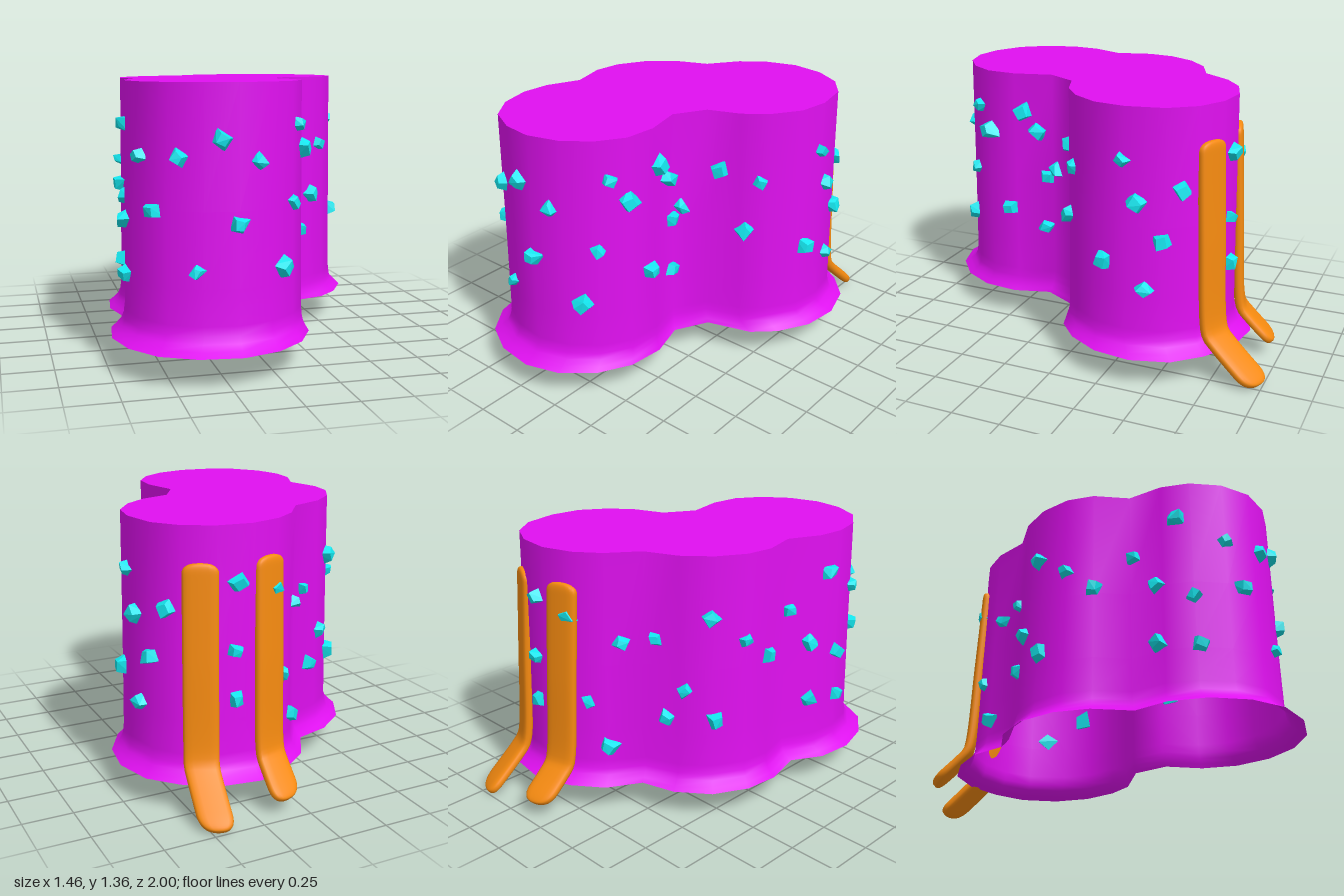
import * as THREE from 'three';
import { ConvexGeometry } from 'three/addons/geometries/ConvexGeometry.js';

const purple = new THREE.MeshStandardMaterial({ color: 0xe010f0, side: THREE.DoubleSide });
const orange = new THREE.MeshStandardMaterial({ color: 0xf58a10, side: THREE.DoubleSide });
const cyan = new THREE.MeshStandardMaterial({ color: 0x14e6ee, flatShading: true });

// lobed outline at the top of the wall, as x, z pairs
const TOP = [
  [.19, -.75], [.36, -.73], [.5, -.655], [.595, -.53], [.63, -.345], [.605, -.185], [.515, -.05],
  [.4, .04], [.24, .1], [.15, .255], [.195, .45], [.18, .61], [.095, .74], [-.035, .835],
  [-.195, .88], [-.35, .86], [-.5, .785], [-.6, .65], [-.64, .49], [-.625, .345], [-.55, .18],
  [-.595, 0], [-.575, -.14], [-.495, -.28], [-.37, -.39], [-.2, -.46], [-.09, -.61], [.03, -.7],
];
// matching outline of the flared rim
const RIM = [
  [.19, -.86], [.39, -.83], [.55, -.73], [.67, -.6], [.725, -.41], [.7, -.22], [.61, -.06],
  [.5, .04], [.27, .11], [.18, .28], [.235, .47], [.215, .655], [.125, .82], [-.02, .94],
  [-.2, .995], [-.4, .97], [-.57, .88], [-.68, .73], [-.73, .545], [-.71, .355], [-.62, .2],
  [-.67, 0], [-.65, -.175], [-.56, -.345], [-.405, -.465], [-.23, -.515], [-.135, -.68], [.01, -.79],
];
// height and amount of flare, from the rim upward
const PROFILE = [[.16, 1], [.18, .7], [.205, .4], [.235, .24], [.28, .17], [.45, .13], [.8, .07], [1.37, 0]];

// joins rings of n points into a closed loop surface
function loft(rings) {
  const n = rings[0].length, index = [];
  for (let r = 0; r < rings.length - 1; r++) {
    for (let i = 0; i < n; i++) {
      const a = r * n + i, b = r * n + (i + 1) % n;
      index.push(a, a + n, b, b, a + n, b + n);
    }
  }
  const geo = new THREE.BufferGeometry();
  geo.setAttribute('position', new THREE.Float32BufferAttribute(rings.flat(2), 3));
  geo.setIndex(index);
  geo.computeVertexNormals();
  return geo;
}

function addMesh(parent, name, geo, mat) {
  const mesh = new THREE.Mesh(geo, mat);
  mesh.name = name;
  parent.add(mesh);
  return mesh;
}

// strap hugging the wall and kicking out at the foot; points are x, y, z
function strapGeometry(points, across) {
  const path = new THREE.CatmullRomCurve3(points.map(p => new THREE.Vector3(...p)), false, 'centripetal');
  const wide = new THREE.Vector3(...across).normalize();
  const steps = 56, sides = 20, rings = [];
  for (let k = 0; k <= steps; k++) {
    // steps crowd toward both ends so the tips are round
    const t = (1 - Math.cos(Math.PI * k / steps)) / 2;
    const c = path.getPointAt(t);
    const thick = new THREE.Vector3().crossVectors(path.getTangentAt(t), wide).normalize();
    const round = (d, size) => Math.pow(Math.max(0, 1 - Math.pow(Math.max(0, 1 - d / size), 2.5)), 1 / 2.5);
    const len = path.getLength();
    const end = Math.min(round(t * len, .05), round((1 - t) * len, .09));
    const w = .084 * end, h = .027 * Math.sqrt(end);
    const ring = [];
    for (let i = 0; i < sides; i++) {
      const a = -i / sides * Math.PI * 2;
      const sq = v => Math.sign(v) * Math.pow(Math.abs(v), .65);
      ring.push(c.clone().addScaledVector(wide, w * sq(Math.cos(a)))
        .addScaledVector(thick, h * sq(Math.sin(a))).toArray());
    }
    rings.push(ring);
  }
  return loft(rings);
}

// small seeded generator
let seed = 7;
const rand = () => (seed = (seed * 16807) % 2147483647) / 2147483647;

// irregular chipped stone: a tapered, jittered block
function stoneGeometry(size) {
  const points = [];
  for (const x of [-1, 1]) for (const y of [-1, 1]) for (const z of [-1, 1]) {
    const taper = z > 0 ? .6 : 1;
    points.push(new THREE.Vector3(
      x * size * taper * (.55 + .45 * rand()),
      y * size * taper * (.65 + .5 * rand()),
      z * size * (.45 + .4 * rand())));
  }
  return new ConvexGeometry(points);
}

// stones: place along the outline (point index), height
const STONES = [
  // front lobe
  [17, 1.04], [15.7, 1.04], [14.5, 1.12], [13.4, 1.02], [12, .81], [11.6, 1.17], [11, 1.05], [16.5, .79],
  [14, .74], [15.2, .53], [12.5, .52], [9.8, 1.17], [10.2, .63], [9.15, .82], [9.4, 1.07], [9.2, .54],
  // side of the rear lobe
  [8.75, .87], [7.6, 1.06], [6.8, .74], [6.3, 1.01], [4.1, 1.12], [4.7, .61], [3.7, .92], [3.5, .49],
  [3.05, .74], [2.5, .98],
  // back
  [.4, 1.1], [.5, .78], [.45, .55], [27.2, 1.05], [26.6, .6], [26, .36],
  // far side
  [25.6, .92], [24.65, .94], [23.1, 1.07], [22, .94], [23.85, .69], [24.35, .53], [22.9, .53],
  [21, .83], [19.9, 1], [19.2, .81], [18.5, 1.17], [19.2, .49], [17.9, .46], [18, .72],
];

// flare amount at a height
function flareAt(y) {
  const i = Math.max(1, PROFILE.findIndex(p => p[0] >= y));
  const [y0, f0] = PROFILE[i - 1], [y1, f1] = PROFILE[i];
  return f0 + (f1 - f0) * (y - y0) / (y1 - y0);
}

export function createModel() {
  const model = new THREE.Group();
  model.name = 'studdedLobedShell';
  seed = 7;

  // open-bottomed wall with flared rim
  const ringAt = (y, f) => TOP.map(([x, z], i) => [x + (RIM[i][0] - x) * f, y, z + (RIM[i][1] - z) * f]);
  addMesh(model, 'wall', loft(PROFILE.map(([y, f]) => ringAt(y, f))), purple);

  // flat lid
  const lid = new THREE.ShapeGeometry(new THREE.Shape(TOP.map(([x, z]) => new THREE.Vector2(x, -z))));
  lid.rotateX(-Math.PI / 2).translate(0, 1.37, 0);
  addMesh(model, 'lid', lid, purple);

  // two straps on the back
  addMesh(model, 'innerStrap', strapGeometry(
    [[.09, 1.21, -.72], [.095, .75, -.745], [.1, .31, -.77], [.1, .25, -.785], [.1, .2, -.83], [.1, .085, -.955]],
    [.96, 0, -.26]), orange);
  addMesh(model, 'outerStrap', strapGeometry(
    [[.425, 1.2, -.695], [.435, .75, -.715], [.445, .29, -.74], [.45, .24, -.755], [.455, .19, -.8], [.475, .02, -.985]],
    [.9, 0, .42]), orange);

  // stones set into the wall, facing outward
  const stones = new THREE.Group();
  stones.name = 'stones';
  model.add(stones);
  for (const [s, y] of STONES) {
    const ring = ringAt(y, flareAt(y));
    const i = Math.floor(s) % ring.length, t = s % 1;
    const a = new THREE.Vector3(...ring[i]), b = new THREE.Vector3(...ring[(i + 1) % ring.length]);
    const out = new THREE.Vector3(b.z - a.z, 0, a.x - b.x).normalize();
    const stone = addMesh(stones, 'stone', stoneGeometry(.036 + .016 * rand()), cyan);
    stone.position.lerpVectors(a, b, t).addScaledVector(out, .008);
    stone.rotation.set(0, Math.atan2(out.x, out.z), rand() * 3, 'YXZ');
  }
  return model;
}
